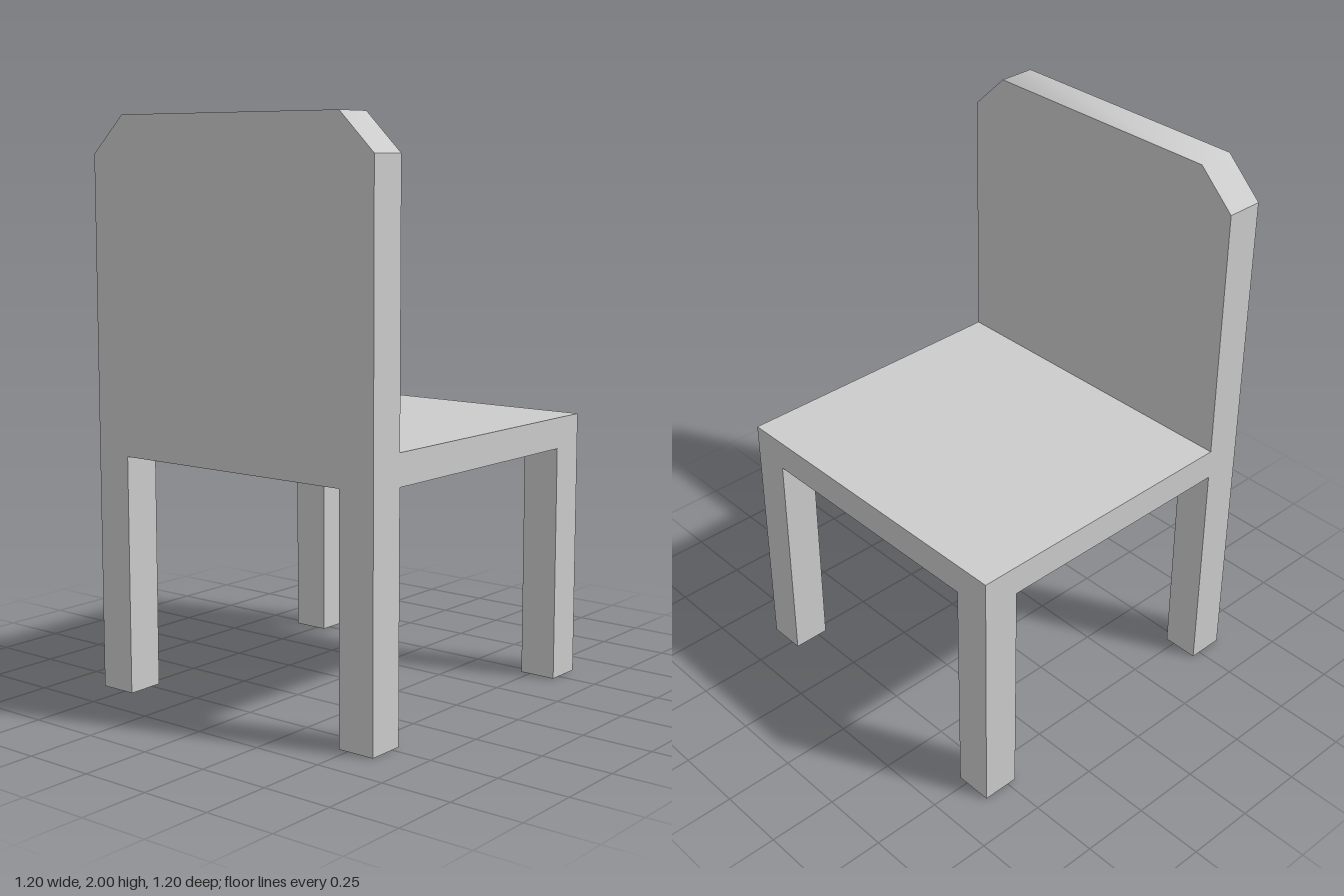
import * as THREE from 'three';
import { toCreasedNormals } from 'three/addons/utils/BufferGeometryUtils.js';

export function createModel() {
  const group = new THREE.Group();
  group.name = 'chair';
  const material = new THREE.MeshStandardMaterial({ color: 0xcccccc });

  const half = 0.6;        // half of width and depth
  const thick = 0.135;     // leg and backrest thickness
  const seatBottom = 0.84;
  const seatTop = 0.95;
  const height = 2;

  function add(name, geometry, x, y, z) {
    const mesh = new THREE.Mesh(geometry, material);
    mesh.name = name;
    mesh.position.set(x, y, z);
    group.add(mesh);
  }

  // Seat slab, meeting the backrest at the +z side
  const seatDepth = 2 * half - thick;
  add('seat', new THREE.BoxGeometry(2 * half, seatTop - seatBottom, seatDepth),
    0, (seatBottom + seatTop) / 2, -thick / 2);

  // Backrest panel with cut top corners, softened only along the top
  const shape = new THREE.Shape([
    [-half, seatBottom], [half, seatBottom], [half, height - 0.13],
    [half - thick, height], [-half + thick, height], [-half, height - 0.13],
  ].map(([x, y]) => new THREE.Vector2(x, y)));
  const panel = new THREE.ExtrudeGeometry(shape, { depth: thick, bevelEnabled: false });
  add('backrest', toCreasedNormals(panel, Math.PI / 4), 0, 0, half - thick);

  // Four square legs flush with the corners
  const legGeometry = new THREE.BoxGeometry(thick, seatBottom, thick);
  const offset = half - thick / 2;
  for (const sx of [-1, 1]) {
    for (const sz of [-1, 1]) {
      const name = (sx > 0 ? 'left' : 'right') + (sz > 0 ? 'BackrestLeg' : 'SeatLeg');
      add(name, legGeometry, sx * offset, seatBottom / 2, sz * offset);
    }
  }
  return group;
}
